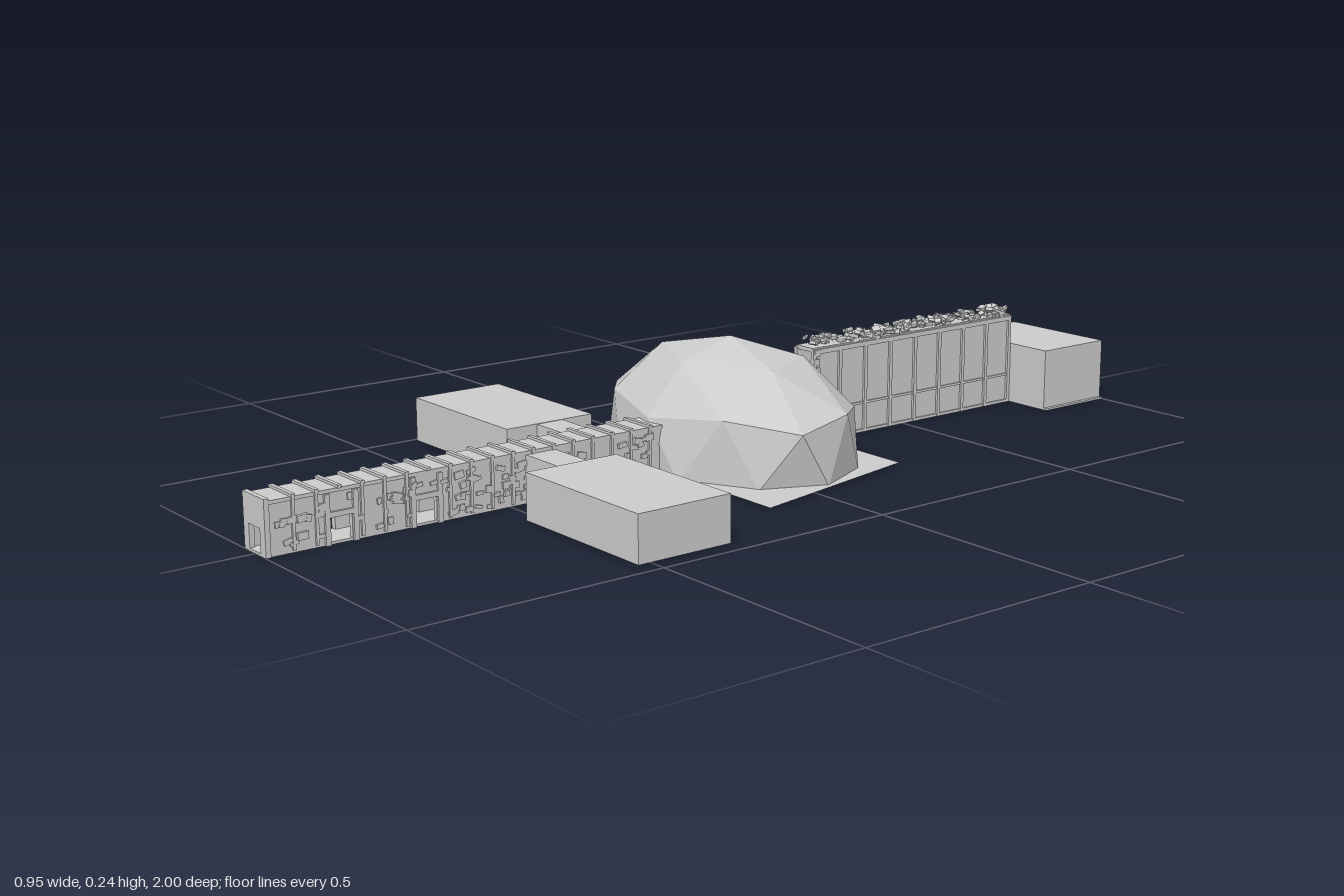
import * as THREE from 'three';

const mat = new THREE.MeshStandardMaterial({ color: 0xcccccc, flatShading: true, side: THREE.DoubleSide });

// Small seeded generator for the rough stonework
let seed = 7;
const rnd = (a, b) => {
  seed = (seed * 16807) % 2147483647;
  return a + (b - a) * (seed / 2147483647);
};

export function createModel() {
  const model = new THREE.Group();

  const add = (parent, name, geo) => {
    const m = new THREE.Mesh(geo, mat);
    m.name = name;
    parent.add(m);
    return m;
  };
  // Box given by its limits on each axis
  const box = (parent, name, x0, x1, y0, y1, z0, z1) => {
    const m = add(parent, name, new THREE.BoxGeometry(x1 - x0, y1 - y0, z1 - z0));
    m.position.set((x0 + x1) / 2, (y0 + y1) / 2, (z0 + z1) / 2);
    return m;
  };
  const group = (name) => {
    const g = new THREE.Group();
    g.name = name;
    model.add(g);
    return g;
  };

  // Faceted dome: stretched icosphere with its lower half flattened to a floor
  const dome = new THREE.IcosahedronGeometry(1, 1);
  dome.rotateX(-Math.atan((1 + Math.sqrt(5)) / 2));
  const p = dome.attributes.position;
  for (let i = 0; i < p.count; i++) {
    const base = p.getY(i) < 0.01;
    p.setXYZ(i,
      p.getX(i) * 0.347 * (base ? 0.86 : 1),
      base ? 0 : p.getY(i) * 0.245,
      p.getZ(i) * 0.2315 * (base ? 0.93 : 1) - 0.05);
  }
  dome.computeVertexNormals();
  add(model, 'dome', dome);

  // Trapezoid ground plate under the dome
  const plate = new THREE.Shape([
    new THREE.Vector2(-0.35, -0.14), new THREE.Vector2(0.35, -0.14),
    new THREE.Vector2(0.265, 0.265), new THREE.Vector2(-0.265, 0.265)]);
  add(model, 'groundPlate', new THREE.ShapeGeometry(plate).rotateX(-Math.PI / 2)).position.y = 0.004;

  // Side rooms with their short passages
  const rooms = group('sideRooms');
  box(rooms, 'rightRoom', -0.475, -0.14, 0.005, 0.095, 0.19, 0.39);
  box(rooms, 'rightPassage', -0.14, -0.034, 0.005, 0.094, 0.26, 0.32);
  box(rooms, 'leftRoom', 0.14, 0.475, 0.005, 0.095, 0.335, 0.535);
  box(rooms, 'leftPassage', 0.034, 0.14, 0.005, 0.094, 0.40, 0.465);

  // Entrance corridor: floor, roof and walls with two doorways each
  const hall = group('entranceCorridor');
  box(hall, 'corridorFloor', -0.036, 0.036, 0, 0.005, 0.14, 1);
  box(hall, 'corridorRoof', -0.038, 0.038, 0.094, 0.101, 0.14, 1);
  const doors = [0.68, 0.852];
  const wall = new THREE.Shape();
  wall.moveTo(0.14, 0.005);
  for (const z of doors) {
    wall.lineTo(z - 0.022, 0.005);
    wall.lineTo(z - 0.022, 0.05);
    wall.lineTo(z + 0.022, 0.05);
    wall.lineTo(z + 0.022, 0.005);
  }
  wall.lineTo(0.995, 0.005);
  wall.lineTo(0.995, 0.095);
  wall.lineTo(0.14, 0.095);
  const wallGeo = new THREE.ExtrudeGeometry(wall, { depth: 0.01, bevelEnabled: false })
    .rotateY(-Math.PI / 2).translate(0.005, 0, 0);
  for (const s of [-1, 1]) {
    add(hall, 'corridorWall', wallGeo).position.x = s * 0.031;
    // Door frames
    for (const z of doors) {
      for (const e of [-1, 1]) {
        const zc = z + e * 0.028;
        box(hall, 'doorPost', s * 0.038 - 0.003, s * 0.038 + 0.003, 0, 0.093, zc - 0.005, zc + 0.005);
      }
      box(hall, 'doorLintel', s * 0.038 - 0.003, s * 0.038 + 0.003, 0.05, 0.06, z - 0.028, z + 0.028);
    }
    // Rough stones on the wall faces, kept clear of the doorways
    for (let i = 0; i < 110; i++) {
      const z = rnd(0.17, 0.98), y = rnd(0.01, 0.085);
      const h = rnd(0.006, 0.014), w = rnd(0.008, 0.022), d = rnd(0.002, 0.007);
      if (y < 0.06 && doors.some((c) => Math.abs(z - c) < 0.035)) continue;
      const x = s * 0.036;
      const stone = box(hall, 'wallStone', x - d, x + d, y - h / 2, y + h / 2, z - w / 2, z + w / 2);
      stone.rotation.x = rnd(-0.3, 0.3);
    }
    // Upright supports
    for (let z = 0.18; z < 0.99; z += 0.045) {
      if (doors.some((c) => Math.abs(z - c) < 0.03)) continue;
      box(hall, 'wallPost', s * 0.037 - 0.003, s * 0.037 + 0.003, 0.005, 0.1, z - 0.003, z + 0.003);
    }
  }
  for (let z = 0.18; z < 0.99; z += 0.045) {
    box(hall, 'roofRib', -0.041, 0.041, 0.1, 0.106, z - 0.004, z + 0.004);
  }

  // Front doorway
  const portal = new THREE.Shape([
    new THREE.Vector2(-0.039, 0), new THREE.Vector2(-0.02, 0), new THREE.Vector2(-0.02, 0.05),
    new THREE.Vector2(0.02, 0.05), new THREE.Vector2(0.02, 0), new THREE.Vector2(0.039, 0),
    new THREE.Vector2(0.039, 0.105), new THREE.Vector2(-0.039, 0.105)]);
  add(hall, 'frontDoorway', new THREE.ExtrudeGeometry(portal, { depth: 0.01, bevelEnabled: false }))
    .position.z = 0.99;

  // Tall rear corridor with panelled walls
  const rear = group('rearCorridor');
  box(rear, 'rearFloor', -0.028, 0.028, 0, 0.006, -0.82, -0.24);
  box(rear, 'rearRoof', -0.025, 0.025, 0.188, 0.196, -0.82, -0.245);
  const panels = 8, step = 0.575 / panels;
  for (const s of [-1, 1]) {
    box(rear, 'rearWall', s * 0.022 - 0.002, s * 0.022 + 0.002, 0.005, 0.19, -0.82, -0.245);
    box(rear, 'wallRail', s * 0.025 - 0.002, s * 0.025 + 0.002, 0.06, 0.065, -0.82, -0.245);
    box(rear, 'wallTopRail', s * 0.026 - 0.003, s * 0.026 + 0.003, 0.183, 0.193, -0.82, -0.245);
    for (let i = 0; i <= panels; i++) {
      const z = -0.248 - i * (step - 0.001);
      box(rear, 'panelPost', s * 0.026 - 0.003, s * 0.026 + 0.003, 0, 0.192, z - 0.004, z + 0.004);
    }
    // Rough stones edging the end by the dome
    for (let y = 0.07; y < 0.185; y += 0.018) {
      const z = -0.25 - rnd(0, 0.012);
      box(rear, 'endStone', s * 0.025 - 0.005, s * 0.025 + 0.005, y, y + 0.013, z - 0.008, z + 0.008);
    }
  }
  // Rubble along the roof
  for (let i = 0; i < 230; i++) {
    const r = rnd(0.004, 0.008);
    const stone = add(rear, 'roofRubble', new THREE.BoxGeometry(r * 2, r, r * 2.2));
    stone.position.set(rnd(-0.023, 0.023), rnd(0.195, 0.211), rnd(-0.812, -0.252));
    stone.rotation.set(rnd(-0.5, 0.5), rnd(0, 3), rnd(-0.5, 0.5));
  }

  // Rear room on a slightly wider floor
  const back = group('rearRoom');
  box(back, 'rearRoomBody', -0.132, 0.132, 0.003, 0.131, -1, -0.82);
  box(back, 'rearRoomFloor', -0.142, 0.14, 0, 0.004, -1, -0.82);

  return model;
}
